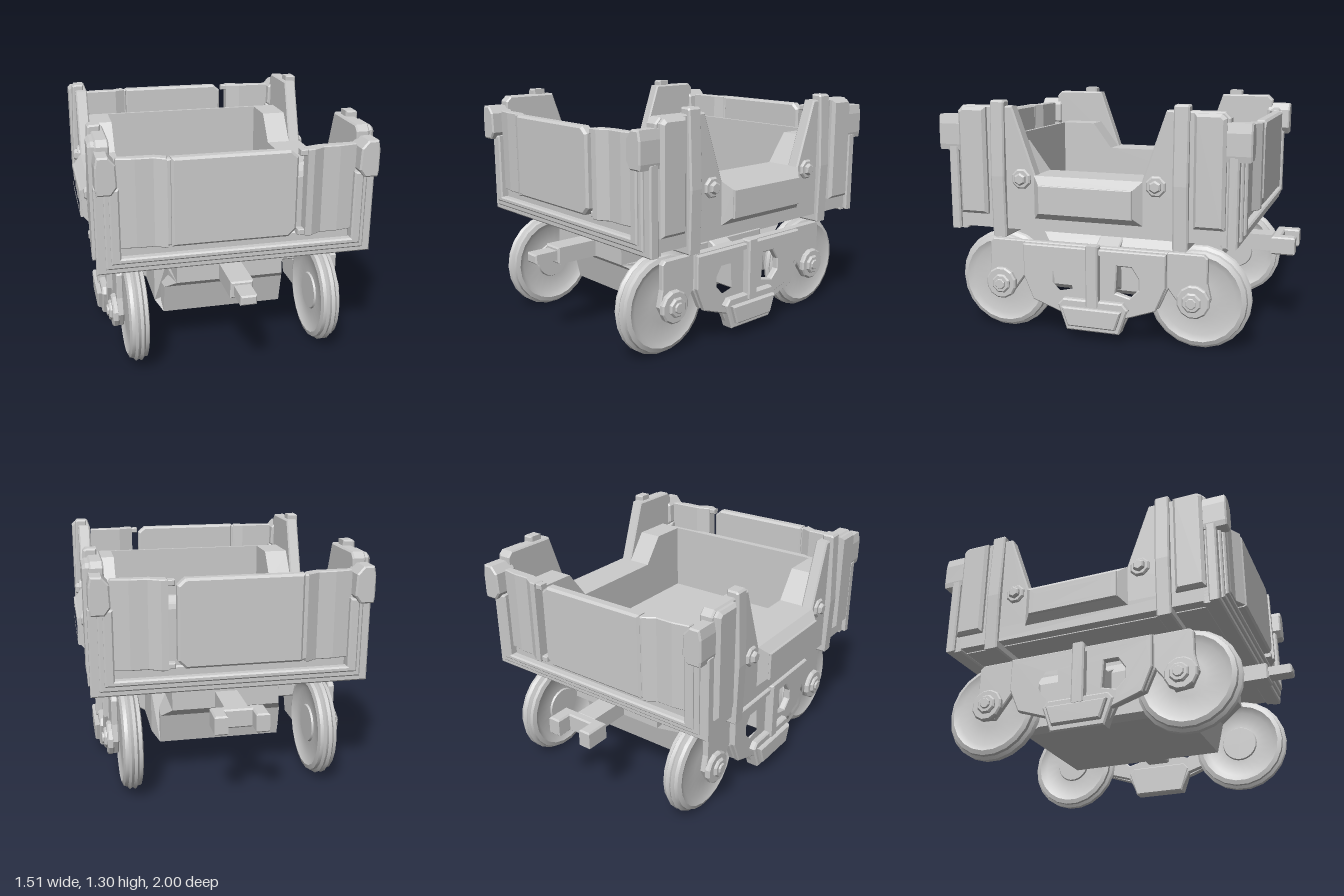
import * as THREE from 'three';
import { toCreasedNormals } from 'three/addons/utils/BufferGeometryUtils.js';

const grey = new THREE.MeshStandardMaterial({ color: 0xcccccc, flatShading: true });
const smooth = new THREE.MeshStandardMaterial({ color: 0xcccccc });

function add(parent, name, geo, mat = grey) {
  const m = new THREE.Mesh(geo, mat);
  m.name = name;
  parent.add(m);
  return m;
}

// Prism along an axis from a to b. Points are (z,y) for x, (x,z) for y, (x,y) for z.
function prism(axis, pts, a, b, bevel = 0.008, holes = []) {
  const map = ([u, v]) => axis === 'x' ? new THREE.Vector2(-u, v)
    : axis === 'y' ? new THREE.Vector2(u, -v) : new THREE.Vector2(u, v);
  const shape = new THREE.Shape(pts.map(map));
  holes.forEach(h => shape.holes.push(new THREE.Path(h.map(map))));
  const lo = Math.min(a, b), hi = Math.max(a, b);
  const g = new THREE.ExtrudeGeometry(shape, {
    depth: hi - lo - 2 * bevel, bevelEnabled: bevel > 0, bevelSegments: 1,
    bevelSize: bevel, bevelThickness: bevel, bevelOffset: -bevel
  });
  g.translate(0, 0, lo + bevel);
  if (axis === 'x') g.rotateY(Math.PI / 2);
  if (axis === 'y') g.rotateX(-Math.PI / 2);
  return g;
}

// Moves every vertex by a rule
function reshape(geo, rule) {
  const p = geo.attributes.position, v = new THREE.Vector3();
  for (let i = 0; i < p.count; i++) {
    rule(v.fromBufferAttribute(p, i));
    p.setXYZ(i, v.x, v.y, v.z);
  }
  geo.computeVertexNormals();
  return geo;
}

const rect = (u0, v0, u1, v1) => [[u0, v0], [u1, v0], [u1, v1], [u0, v1]];
const box = (x0, x1, y0, y1, z0, z1, bevel = 0.008) => prism('z', rect(x0, y0, x1, y1), z0, z1, bevel);
// Completes a half outline, listed from bottom to top, with its mirror image.
const mirrored = half => [...half, ...half.map(([u, v]) => [-u, v]).reverse()];
const ring = (u, v, r, n) => Array.from({ length: n }, (_, i) => {
  const t = (i + 0.5) / n * Math.PI * 2;
  return [u + r * Math.cos(t), v + r * Math.sin(t)];
});

function createWheel() {
  const profile = [[0, .475], [.1, .475], [.105, .485], [.2, .487], [.235, .465], [.26, .472], [.262, .49],
    [.278, .5], [.268, .515], [.278, .53], [.262, .542], [.258, .56], [.235, .57], [.2, .555], [.1, .56], [0, .56]];
  const g = new THREE.LatheGeometry(profile.map(p => new THREE.Vector2(...p)), 22);
  g.rotateZ(-Math.PI / 2);
  return toCreasedNormals(g, 0.6);
}

// Everything on the +x side; symmetric front to back
function createSide() {
  const side = new THREE.Group();

  // Thick inner wall with a low middle
  add(side, 'innerWall', prism('x', mirrored([[.65, .64], [.65, 1.07], [.42, 1.07], [.3, .91]]), .49, .65, 0));
  add(side, 'sideSill', box(.6, .7, .615, .7, -.74, .74));
  add(side, 'sidePanelBase', box(.62, .69, .69, .91, -.31, .31, 0));

  // Bulging lower panel with a recessed centre
  add(side, 'bulgedPanel', prism('x', rect(-.3, .68, .3, .91), .62, .742, .042));
  add(side, 'bulgedPanelRim', prism('x', rect(-.257, .715, .257, .868), .735, .753, .004, [rect(-.23, .738, .23, .838)]));

  // Bogie side frame with openings and a raised rim
  const outline = mirrored([[.15, .07], [.2, .17], [.36, .22], [.41, .33], [.41, .53]]);
  const holes = [-1, 1].map(s => [[s * .12, .28], [s * .2, .26], [s * .25, .31], [s * .25, .37], [s * .21, .43], [s * .13, .43]]);
  add(side, 'sideFrame', prism('x', outline, .575, .615, .006, holes));
  add(side, 'sideFrameRim', prism('x', mirrored([[.18, .15], [.35, .21], [.405, .34], [.405, .52]]), .605, .64, .006,
    [mirrored([[.17, .18], [.335, .235], [.38, .34], [.38, .495]])]));
  add(side, 'frameRib', box(.6, .66, .2, .54, -.035, .035));
  add(side, 'stepBracket', prism('x', mirrored([[.15, .06], [.2, .2], [.17, .235]]), .57, .65));
  add(side, 'stepPlate', prism('x', mirrored([[.135, .09], [.17, .195]]), .64, .675));
  add(side, 'bolster', prism('z', [[.33, .2], [.42, .25], [.6, .25], [.6, .47], [.42, .47], [.33, .52]], -.07, .07));

  for (const s of [-1, 1]) {
    // High plate beside each end opening, with a thicker layer near the corner
    add(side, 'sidePlate', prism('x', [[.74, .69], [.74, 1.24], [.71, 1.27], [.42, 1.27], [.29, .9], [.29, .69]]
      .map(([z, y]) => [s * z, y]), .63, .7));
    add(side, 'plateLayer', prism('x', [[.725, .69], [.725, 1.24], [.7, 1.262], [.565, 1.262], [.565, .69]]
      .map(([z, y]) => [s * z, y]), .66, .732, .016));

    // Upright post, bolt and corner
    add(side, 'post', prism('z', [[.65, .57], [.72, .57], [.73, .9], [.715, 1.29], [.705, 1.3], [.65, 1.3]], s * .46, s * .54));
    add(side, 'boltPlate', prism('x', ring(s * .37, .89, .056, 8), .68, .715));
    add(side, 'bolt', prism('x', ring(s * .37, .89, .034, 6), .7, .735));
    add(side, 'cornerColumn', box(.6, .7, .6, 1.06, s * .72, s * .78));
    add(side, 'cornerColumnRib', box(.66, .72, .6, 1.05, s * .735, s * .79));
    add(side, 'cornerCap', prism('z', [[.61, 1.07], [.64, 1.03], [.71, 1.03], [.715, 1.06], [.715, 1.17],
      [.705, 1.22], [.65, 1.22], [.615, 1.18]], s * .71, s * .85));

    // Wheel, axle arm and hub
    const wheel = add(side, 'wheel', createWheel(), smooth);
    wheel.position.set(0, .28, s * .56);
    add(side, 'axleArm', prism('x', [[.39, .53], [.6, .53], [.62, .51], [.62, .38], [.64, .29], [.6, .21], [.51, .2],
      [.45, .28], [.39, .36]].map(([z, y]) => [s * z, y]), .575, .61, .006));
    add(side, 'axleBox', prism('x', ring(s * .55, .28, .09, 12), .6, .635));
    add(side, 'axleHub', prism('x', ring(s * .545, .28, .055, 8), .62, .65));
    add(side, 'axleNut', prism('x', ring(s * .545, .28, .03, 8), .64, .66, .004));
  }
  return side;
}

// One end wall; s is 1 for the front and -1 for the back
function createEnd(s) {
  const end = new THREE.Group();
  // Inner wall with a raised lip along the load space
  add(end, 'innerEndWall', prism('x', [[.63, .64], [.63, 1.07], [.65, 1.07], [.67, 1.03], [.77, 1.03], [.77, .64]]
    .map(([z, y]) => [s * z, y]), -.62, .62, 0));

  // Nested stepped frame
  for (const [w, y, z] of [[.7, .6, .79], [.675, .63, .805], [.65, .66, .82]]) {
    add(end, 'endFrame', prism('z', [[-w, y], [w, y], [w, 1.05], [.6, 1.05], [.6, .69], [-.6, .69], [-.6, 1.05], [-w, 1.05]],
      s * .7, s * z));
  }
  add(end, 'endBacking', box(-.6, .6, .66, .74, s * .74, s * .78));

  // Main panel with cut corners, and a stepped panel on each side
  add(end, 'mainPanel', prism('z', [[-.35, .74], [.25, .74], [.29, .78], [.29, 1.16], [.25, 1.195], [-.35, 1.195]], s * .78, s * .842, .012));
  add(end, 'panelSeam', box(-.385, -.345, .745, 1.19, s * .785, s * .832));
  const bent = [[.37, .84], [.43, .805], [.52, .805], [.61, .79], [.61, .75], [.42, .755], [.36, .785]];
  add(end, 'sidePanelA', prism('y', bent.map(([x, z]) => [-x, s * z]), .735, 1.195, .005));
  add(end, 'sidePanelB', prism('y', [[.335, .842], ...bent.slice(0, -1), [.335, .78]].map(([x, z]) => [x, s * z]), .735, 1.195, .005));
  add(end, 'latchTop', box(.3, .35, 1.16, 1.19, s * .785, s * .83, .004));
  add(end, 'latchBottom', box(.3, .35, .74, .77, s * .785, s * .83, .004));

  // Beam under the body, and the drawbar
  add(end, 'crossBeam', box(-.72, .72, .57, .62, s * .46, s * .54));
  add(end, 'drawbarBase', box(-.06, .06, .44, .53, s * .55, s * .87));
  if (s > 0) {
    add(end, 'drawbar', box(-.043, .043, .46, .512, .85, 1));
  } else {
    add(end, 'couplerFork', prism('y', [[-.14, -1], [-.14, -.87], [.14, -.87], [.14, -1], [.07, -1], [.07, -.92],
      [-.07, -.92], [-.07, -1]], .44, .54));
  }
  return end;
}

export function createModel() {
  const wagon = new THREE.Group();
  wagon.name = 'wagon';

  add(wagon, 'floor', box(-.64, .64, .61, .67, -.77, .77, 0));

  // Centre sill running into a deeper box with sloping ends and flared sides
  add(wagon, 'centreSill', prism('x', mirrored([[.5, .36], [.63, .44], [.63, .61]]), -.29, .29, 0));
  add(wagon, 'underbox', reshape(prism('x', mirrored([[.46, .19], [.5, .36], [.63, .44]]), -.335, .335, 0),
    v => { if (v.y > .4) v.x *= .29 / .335; }));
  add(wagon, 'underboxFlare', reshape(prism('z', mirrored([[.335, .19], [.37, .22], [.37, .475], [.29, .56]]), -.46, .46, 0),
    v => { if (Math.abs(v.x) > .36) v.z *= .8; }));

  const left = createSide(), right = createSide();
  left.name = 'leftSide';
  right.name = 'rightSide';
  right.rotation.y = Math.PI;
  const front = createEnd(1), back = createEnd(-1);
  front.name = 'frontEnd';
  back.name = 'backEnd';
  wagon.add(left, right, front, back);
  return wagon;
}
